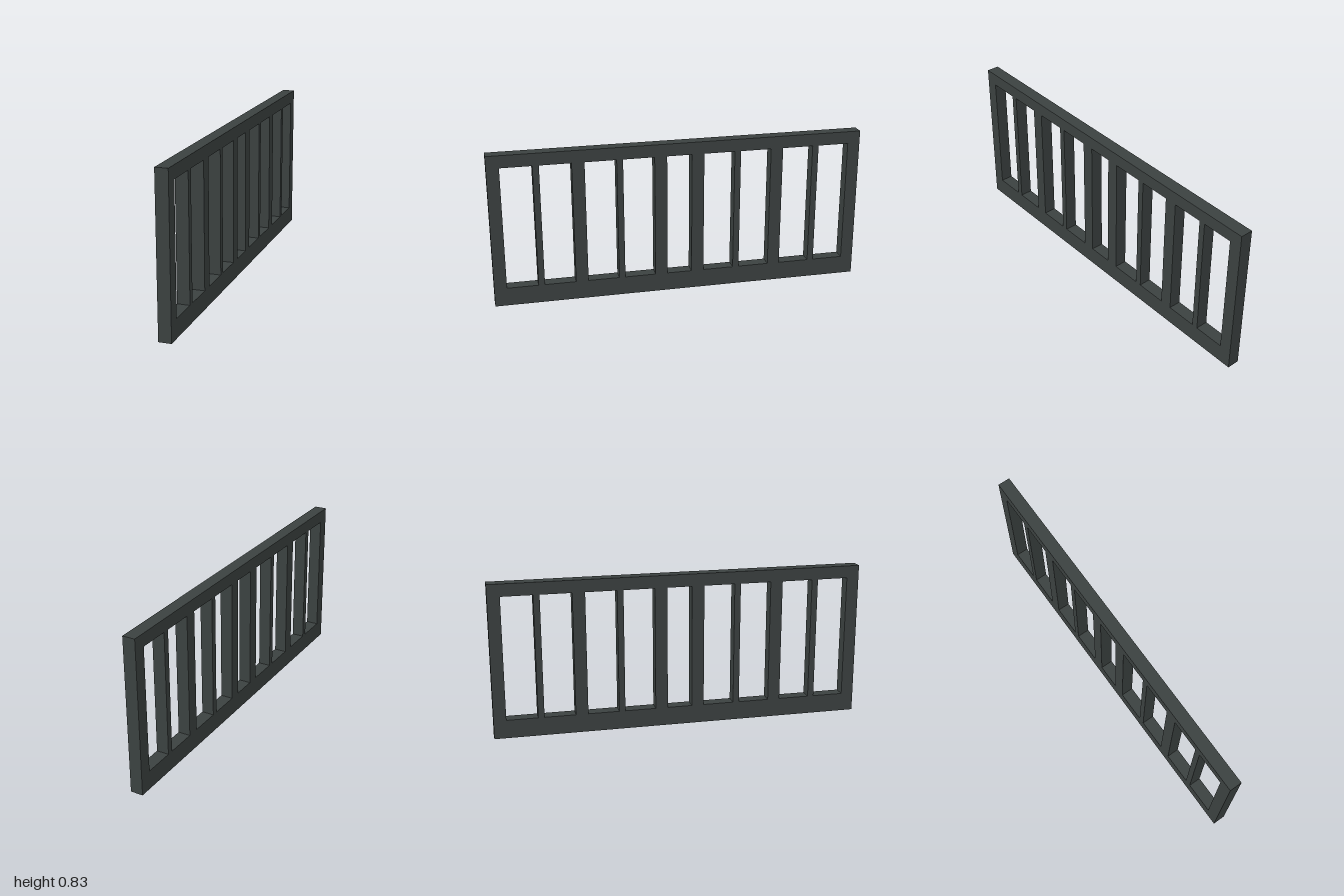
import * as THREE from 'three';

export function createModel() {
  const group = new THREE.Group();
  group.name = 'railing';
  const metal = new THREE.MeshStandardMaterial({ color: 0x3b4140 });
  metal.name = 'dark grey metal';

  const depth = 0.0667, railTop = 0.8333, openTop = 0.7667, openBottom = 0.1;

  // Box spanning y0..y1 and z0..z1 at the full railing depth
  function bar(name, y0, y1, z0, z1) {
    const mesh = new THREE.Mesh(new THREE.BoxGeometry(depth, y1 - y0, z1 - z0), metal);
    mesh.position.set(0, (y0 + y1) / 2, (z0 + z1) / 2);
    mesh.name = name;
    group.add(mesh);
  }

  // Horizontal rails
  bar('bottomRail', 0, openBottom, -1, 1);
  bar('topRail', openTop, railTop, -1, 1);

  // Wide posts and thin balusters, mirrored front to back
  const uprights = [
    ['endPost', 0.9333, 1],
    ['thinBaluster', 0.7333, 0.7667],
    ['widePost', 0.5, 0.5667],
    ['thinBaluster', 0.3, 0.3333],
    ['widePost', 0.0667, 0.1333],
  ];
  for (const [name, z0, z1] of uprights) {
    bar(name + 'Front', openBottom, openTop, z0, z1);
    bar(name + 'Back', openBottom, openTop, -z1, -z0);
  }
  return group;
}
